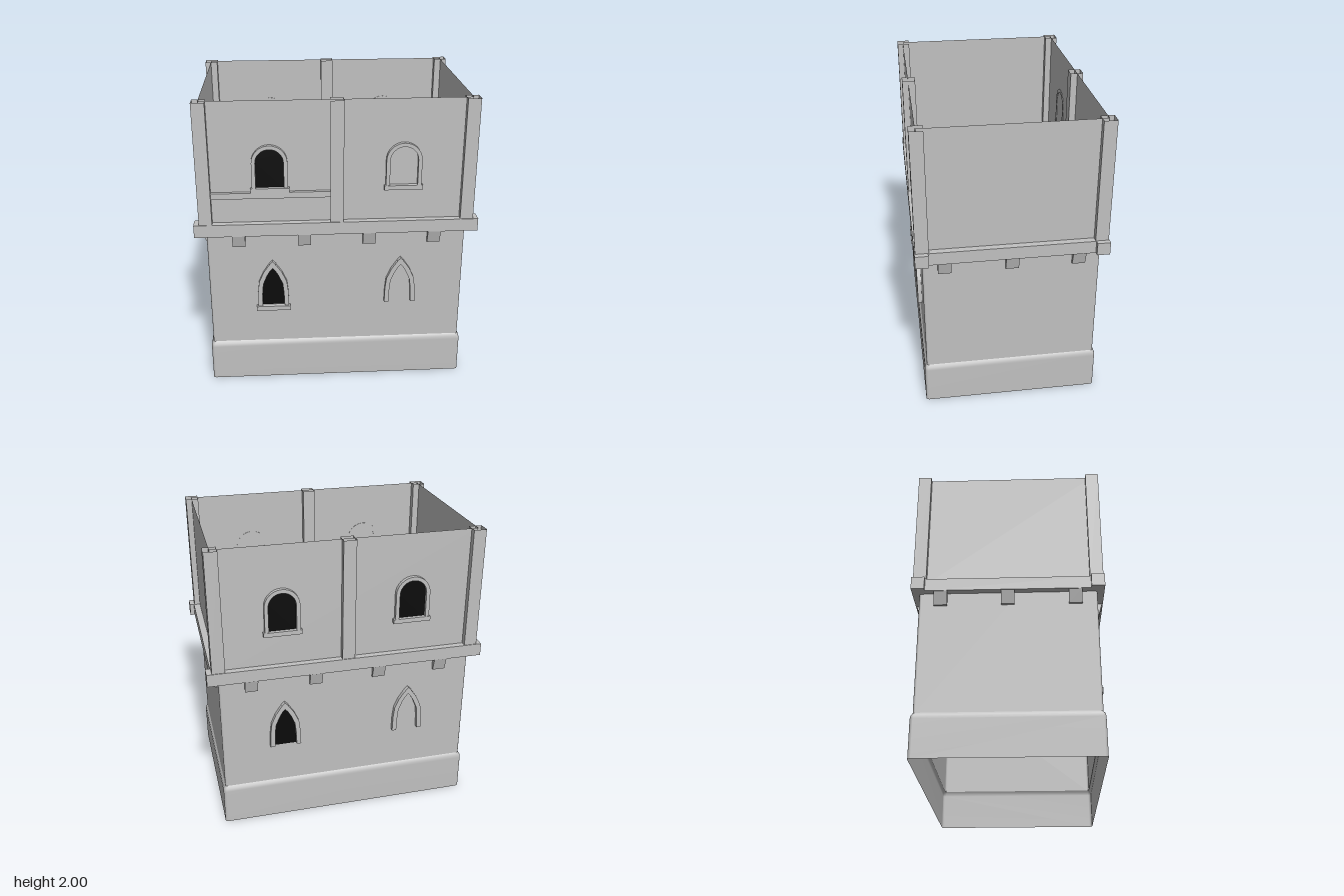
import * as THREE from 'three';

const stone = new THREE.MeshStandardMaterial({ color: 0xc0c0c0, side: THREE.DoubleSide });
stone.name = 'stone grey';
const dark = new THREE.MeshStandardMaterial({ color: 0x0a0a0a });
dark.name = 'window black';

const WX = 0.855, WZ = 0.57; // wall half sizes

function add(parent, name, geometry, material, x = 0, y = 0, z = 0) {
  const mesh = new THREE.Mesh(geometry, material);
  mesh.name = name;
  mesh.position.set(x, y, z);
  parent.add(mesh);
  return mesh;
}

function box(parent, name, x0, x1, y0, y1, z0, z1) {
  return add(parent, name, new THREE.BoxGeometry(x1 - x0, y1 - y0, z1 - z0), stone,
    (x0 + x1) / 2, (y0 + y1) / 2, (z0 + z1) / 2);
}

// Open shell through rounded-rectangle rings [halfX, halfZ, y]
function shell(rings, radius) {
  const pos = [], idx = [], steps = 4, n = 4 * (steps + 1);
  const signs = [[1, 1], [-1, 1], [-1, -1], [1, -1]];
  for (const [hx, hz, y] of rings) {
    signs.forEach(([sx, sz], q) => {
      for (let s = 0; s <= steps; s++) {
        const a = (q + s / steps) * Math.PI / 2;
        pos.push(sx * (hx - radius) + Math.cos(a) * radius, y, sz * (hz - radius) + Math.sin(a) * radius);
      }
    });
  }
  for (let r = 0; r < rings.length - 1; r++) {
    for (let i = 0; i < n; i++) {
      const a = r * n + i, b = r * n + (i + 1) % n, c = a + n, d = b + n;
      idx.push(a, c, b, b, c, d);
    }
  }
  const g = new THREE.BufferGeometry();
  g.setAttribute('position', new THREE.Float32BufferAttribute(pos, 3));
  g.setIndex(idx);
  g.computeVertexNormals();
  return g;
}

// Square post, open at both ends
function post(parent, name, x, z) {
  let g = new THREE.CylinderGeometry(0.0425 * Math.SQRT2, 0.0425 * Math.SQRT2, 0.82, 4, 1, true);
  g.rotateY(Math.PI / 4);
  g = g.toNonIndexed();
  g.computeVertexNormals();
  add(parent, name, g, stone, x, 1.59, z);
}

// Bracket under the ledge with a sloping face
function corbelGeometry() {
  const g = new THREE.BoxGeometry(0.085, 0.09, 0.045).toNonIndexed();
  const p = g.attributes.position;
  for (let i = 0; i < p.count; i++) {
    if (p.getY(i) < 0 && p.getZ(i) > 0) p.setZ(i, p.getZ(i) - 0.025);
  }
  g.computeVertexNormals();
  return g;
}

// Outline points for a round arch and a pointed arch, relative to the window centre line
function roundArch(half, bottom) {
  const pts = [new THREE.Vector2(half, bottom)];
  for (let i = 0; i <= 16; i++) {
    const a = i / 16 * Math.PI;
    pts.push(new THREE.Vector2(Math.cos(a) * half, 1.6 + Math.sin(a) * half));
  }
  pts.push(new THREE.Vector2(-half, bottom));
  return pts;
}

function mirrored(right, apexY) {
  const pts = right.map(([x, y]) => new THREE.Vector2(x, y));
  const left = right.map(([x, y]) => new THREE.Vector2(-x, y)).reverse();
  return [...pts, new THREE.Vector2(0, apexY), ...left];
}

function addWindow(parent, { x, pointed, black, sill }) {
  const g = new THREE.Group();
  g.name = pointed ? 'lowerWindow' : 'upperWindow';
  g.position.x = x;
  parent.add(g);
  const outer = pointed
    ? mirrored([[0.105, 0.575], [0.102, 0.68], [0.093, 0.755], [0.062, 0.825], [0.03, 0.872]], 0.9)
    : roundArch(0.115, 1.42);
  const inner = pointed
    ? mirrored([[0.075, 0.575], [0.072, 0.67], [0.065, 0.74], [0.04, 0.8], [0.018, 0.838]], 0.858)
    : roundArch(0.09, 1.42);
  // Frame: up the outside of the arch and back down the inside
  const frame = new THREE.Shape([...outer, ...inner.slice().reverse()]);
  add(g, 'windowFrame', new THREE.ExtrudeGeometry(frame, { depth: 0.03, bevelEnabled: false }), stone, 0, 0, 0.567);
  if (black) add(g, 'windowOpening', new THREE.ShapeGeometry(new THREE.Shape(inner)), dark, 0, 0, 0.574);
  if (pointed) {
    const key = new THREE.BoxGeometry(0.033, 0.033, 0.034);
    key.rotateZ(Math.PI / 4);
    add(g, 'keystone', key, stone, 0, 0.885, 0.583);
  }
  if (sill) {
    if (pointed) box(g, 'windowSill', -0.115, 0.115, 0.54, 0.572, 0.567, 0.603);
    else box(g, 'windowSill', -0.125, 0.125, 1.4, 1.43, 0.567, 0.6);
  }
}

export function createModel() {
  const model = new THREE.Group();
  model.name = 'tower';

  // Hollow walls and plinth
  add(model, 'plinth', shell([[0.87, 0.585, 0], [0.87, 0.585, 0.25], [0.867, 0.582, 0.272],
    [WX, WZ, 0.29]], 0.02), stone);
  add(model, 'lowerWall', shell([[WX, WZ, 0.285], [WX, WZ, 1.15]], 0.015), stone);
  add(model, 'upperWall', shell([[WX, WZ, 1.15], [WX, WZ, 2]], 0.004), stone);

  // Ledge between the storeys
  for (const s of [-1, 1]) {
    add(model, 'longLedge', new THREE.BoxGeometry(1.86, 0.085, 0.085), stone, 0, 1.1475, s * 0.5725);
    add(model, 'shortLedge', new THREE.BoxGeometry(0.085, 0.085, 1.06), stone, s * 0.8575, 1.1475, 0);
  }

  // Corbels, posts and windows
  const corbel = corbelGeometry();
  for (const s of [1, -1]) {
    for (const x of [-0.645, -0.215, 0.215, 0.645]) {
      add(model, 'corbel', corbel, stone, x, 1.062, s * (WZ + 0.0175)).rotation.y = s > 0 ? 0 : Math.PI;
    }
    for (const z of [-0.43, 0, 0.43]) {
      add(model, 'corbel', corbel, stone, s * (WX + 0.0175), 1.062, z).rotation.y = s * Math.PI / 2;
    }
    for (const x of [-0.8525, 0, 0.8525]) post(model, x ? 'cornerPost' : 'middlePost', x, s * 0.5675);
  }

  const front = new THREE.Group();
  front.name = 'frontWindows';
  addWindow(front, { x: -0.43, black: true, sill: true });
  addWindow(front, { x: 0.43, black: false, sill: true });
  addWindow(front, { x: -0.43, pointed: true, black: true, sill: true });
  addWindow(front, { x: 0.43, pointed: true, black: false, sill: false });
  box(front, 'rail', -0.85, 0, 1.36, 1.4, 0.555, 0.595);

  const back = new THREE.Group();
  back.name = 'backWindows';
  back.rotation.y = Math.PI;
  addWindow(back, { x: -0.43, black: true, sill: true });
  addWindow(back, { x: 0.43, black: true, sill: true });
  addWindow(back, { x: -0.43, pointed: true, black: true, sill: false });
  addWindow(back, { x: 0.43, pointed: true, black: false, sill: false });

  model.add(front, back);
  return model;
}
